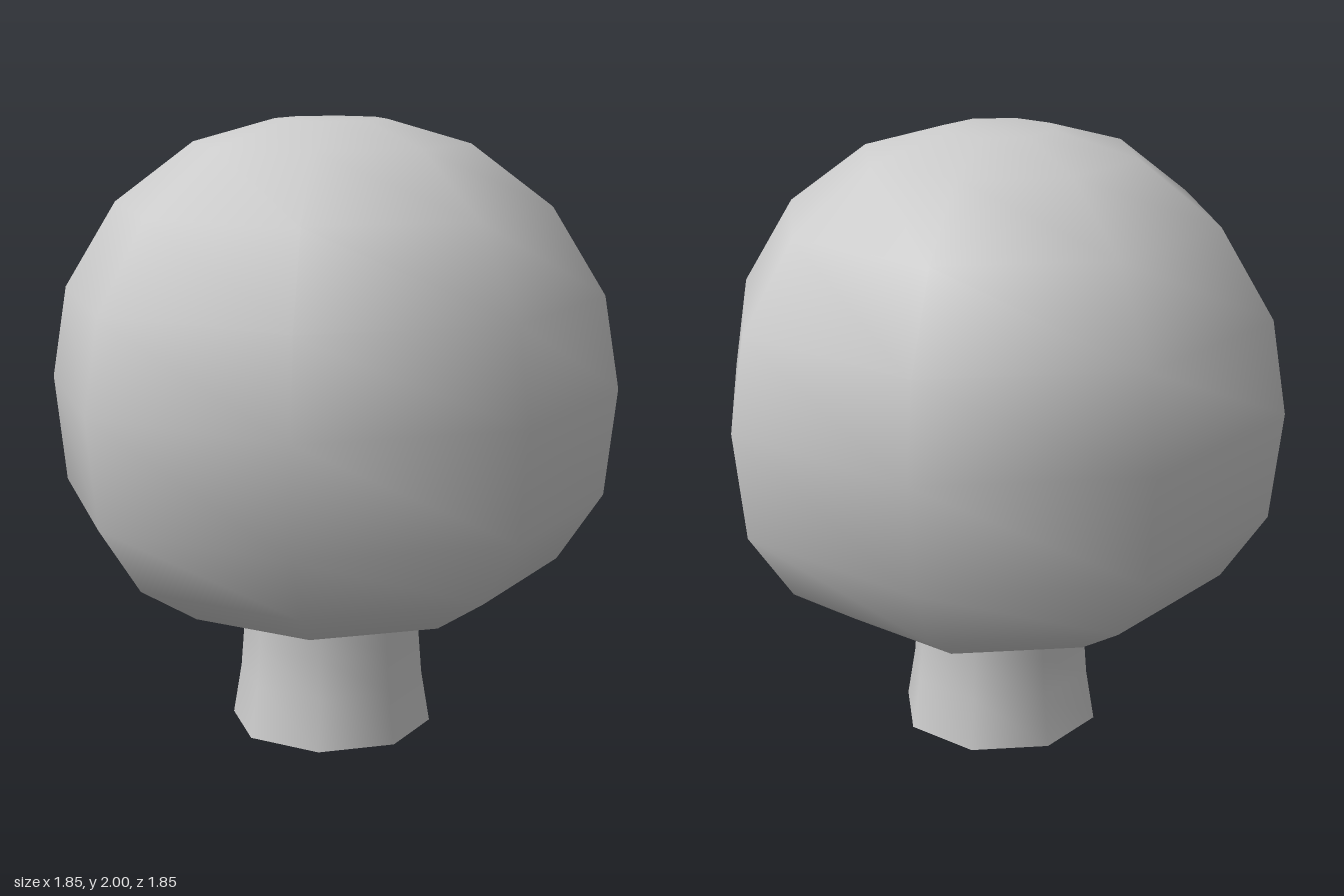
import * as THREE from 'three';

const SIDES = 8;

// Smooth-shaded eight-sided solid of revolution, profile listed from bottom to top
function turned(name, profile, side) {
  const points = profile.map(([r, y]) => new THREE.Vector2(r, y));
  const material = new THREE.MeshStandardMaterial({ color: 0xcccccc, side });
  const mesh = new THREE.Mesh(new THREE.LatheGeometry(points, SIDES), material);
  mesh.name = name;
  return mesh;
}

export function createModel() {
  const tree = new THREE.Group();
  tree.name = 'tree';

  // Flared trunk, open at the foot
  tree.add(turned('trunk', [
    [0.333, 0], [0.305, 0.17], [0.295, 0.3], [0.295, 0.4],
  ], THREE.DoubleSide));

  // Round crown of leaves with a small flat top and underside
  tree.add(turned('crown', [
    [0, 0.4], [0.29, 0.4], [0.54, 0.45], [0.745, 0.58], [0.89, 0.8],
    [0.927, 1.15], [0.877, 1.45], [0.705, 1.73], [0.445, 1.925],
    [0.18, 2], [0, 2],
  ], THREE.FrontSide));

  return tree;
}
